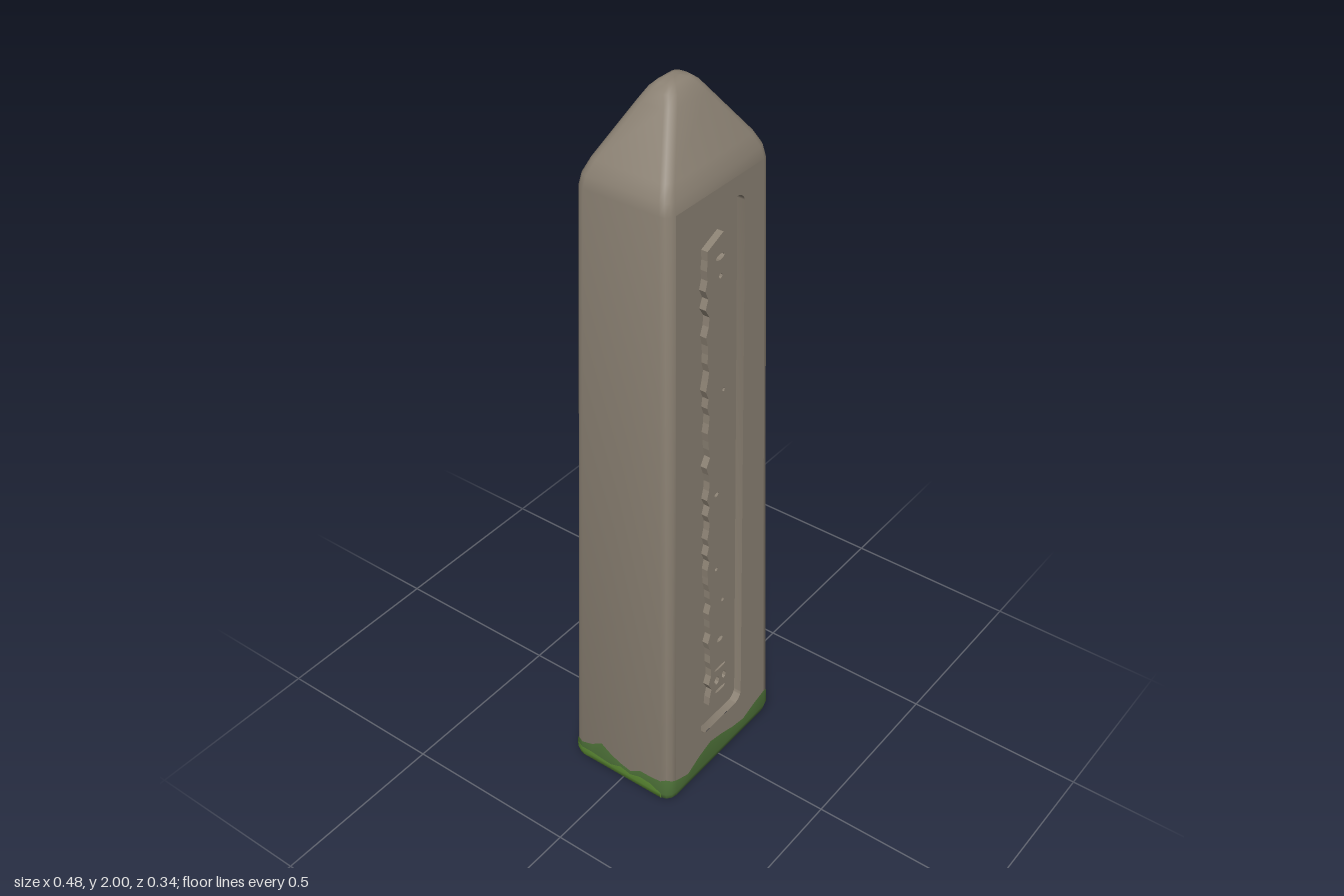
import * as THREE from 'three';
import { toCreasedNormals } from 'three/addons/utils/BufferGeometryUtils.js';

const ARC = 3; // segments per rounded corner
const LOW = 0.03, HIGH = 1.77; // limits of the straight shaft

// height, half width, half depth, corner radius
const PROFILE = [
  [0, 0.221, 0.149, 0.022], [0.01, 0.233, 0.161, 0.028], [LOW, 0.238, 0.166, 0.03],
  [HIGH, 0.192, 0.132, 0.026], [1.8, 0.186, 0.126, 0.025], [1.835, 0.166, 0.112, 0.023],
  [1.955, 0.076, 0.052, 0.022], [1.98, 0.058, 0.038, 0.022], [1.994, 0.04, 0.024, 0.016],
  [2, 0.018, 0.01, 0.008], [2, 0, 0, 0],
];

function sizeAt(y) {
  let i = 1;
  while (i < PROFILE.length - 1 && PROFILE[i][0] < y) i++;
  const a = PROFILE[i - 1], b = PROFILE[i];
  const t = (y - a[0]) / (b[0] - a[0]);
  return a.map((v, k) => v + (b[k] - v) * t);
}

// rounded rectangle of points, starting at the left side and passing the front first
function ring([y, w, d, r], grow = 0) {
  const pts = [];
  for (let c = 0; c < 4; c++) {
    const sx = c === 0 || c === 3 ? 1 : -1, sz = c < 2 ? 1 : -1;
    for (let k = 0; k <= ARC; k++) {
      const a = (c + k / ARC) * Math.PI / 2;
      pts.push(new THREE.Vector3(
        sx * (w - r) + (r + grow) * Math.cos(a), y, sz * (d - r) + (r + grow) * Math.sin(a)));
    }
  }
  return pts;
}

// skin between closed rows of points; skip(row, column) leaves a face open
function loft(rows, crease, skip = () => false) {
  const pos = [];
  const n = rows[0].length;
  for (let j = 0; j < rows.length - 1; j++) {
    for (let i = 0; i < n; i++) {
      if (skip(j, i)) continue;
      const k = (i + 1) % n;
      const a = rows[j][i], b = rows[j][k], c = rows[j + 1][i], d = rows[j + 1][k];
      for (const p of [a, c, b, b, c, d]) pos.push(p.x, p.y, p.z);
    }
  }
  const g = new THREE.BufferGeometry();
  g.setAttribute('position', new THREE.Float32BufferAttribute(pos, 3));
  return toCreasedNormals(g, crease);
}

// depth of the sloping front face
const frontZ = (y) => 0.166 + (0.132 - 0.166) * (y - LOW) / (HIGH - LOW);

// lean a flat geometry onto the front face, sunk by a depth
function lean(g, sink) {
  const p = g.attributes.position;
  for (let i = 0; i < p.count; i++) p.setZ(i, p.getZ(i) + frontZ(p.getY(i)) - sink);
  g.computeVertexNormals();
  return g;
}

function seeded(seed) {
  return () => (seed = (seed * 16807) % 2147483647) / 2147483647;
}

function roundedPanel(w, y0, y1, r) {
  const s = new THREE.Shape();
  s.absarc(w - r, y0 + r, r, -Math.PI / 2, 0);
  s.absarc(w - r, y1 - r, r, 0, Math.PI / 2);
  s.absarc(-w + r, y1 - r, r, Math.PI / 2, Math.PI);
  s.absarc(-w + r, y0 + r, r, Math.PI, Math.PI * 1.5);
  return new THREE.Shape(s.getPoints(6).slice(0, -1));
}

// ragged worn strip with small pits and slots
function reliefShape() {
  const rand = seeded(77);
  const right = [], left = [];
  for (let i = 0; i <= 56; i++) {
    const y = 0.225 + i * 0.025;
    const w = i < 3 ? 0.042 : 0.046;
    right.push(new THREE.Vector2(w + (rand() - 0.5) * 0.016, y));
    left.push(new THREE.Vector2(-w - 0.002 + (rand() - 0.5) * 0.016, y));
  }
  const s = new THREE.Shape([...right, new THREE.Vector2(0.015, 1.65), ...left.reverse()]);
  const pits = [[0, 0.25, 0.024, 0.006], [-0.014, 0.29, 0.011, 0.014], [0.018, 0.29, 0.009, 0.014],
    [0, 0.33, 0.026, 0.005], [0, 0.43, 0.013, 0.008], [0.012, 0.56, 0.006, 0.006],
    [-0.016, 0.68, 0.006, 0.006], [-0.014, 0.92, 0.009, 0.006], [0.016, 1.22, 0.005, 0.006],
    [0.004, 1.54, 0.007, 0.007], [0.002, 1.59, 0.017, 0.008]];
  for (const [x, y, w, h] of pits) {
    const hole = new THREE.Path();
    hole.absellipse(x, y, w, h, 0, Math.PI * 2, true);
    s.holes.push(new THREE.Path(hole.getPoints(4).slice(0, -1)));
  }
  return s;
}

// thin moss skin hugging the foot, with an uneven upper edge
function mossGeometry(height, grow) {
  const heights = [0, 0.01, LOW, 1];
  const split = (pts) => pts.flatMap((p, i) => {
    const q = pts[(i + 1) % pts.length];
    const n = i % (ARC + 1) === ARC ? 8 : 1;
    return Array.from({ length: n }, (_, k) => p.clone().lerp(q, k / n));
  });
  const base = split(ring(sizeAt(LOW), grow));
  const tops = base.map((p, i) => height(p, i));
  const rows = heights.map((h) => base.map((_, i) => {
    const y = Math.min(h, tops[i]);
    const p = split(ring(sizeAt(y), grow))[i];
    if (h === 0) p.y = 0;
    return p;
  }));
  const centre = base.map(() => new THREE.Vector3(0, 0, 0));
  return loft([centre, ...rows], 0.7);
}

export function createModel() {
  const group = new THREE.Group();
  const material = (name, color, side = THREE.FrontSide) => {
    const m = new THREE.MeshStandardMaterial({ color, side });
    m.name = name;
    return m;
  };
  const stone = material('stone', 0x8b8173);
  const moss = material('moss', 0x50753a);
  const brightMoss = material('brightMoss', 0x5d8c34);
  const add = (name, geometry, mat) => {
    const mesh = new THREE.Mesh(geometry, mat);
    mesh.name = name;
    group.add(mesh);
    return mesh;
  };

  // tapering shaft and pointed cap, open where the front face goes
  add('shaft', loft(PROFILE.map((p) => ring(p)), 0.6, (j, i) => j === 2 && i === ARC), stone);

  // front face with a panel opening
  const panel = roundedPanel(0.093, 0.145, 1.72, 0.03);
  const xl = 0.238 - 0.03, xh = 0.192 - 0.026;
  const face = new THREE.Shape([[-xl, LOW], [xl, LOW], [xh, HIGH], [-xh, HIGH]]
    .map(([x, y]) => new THREE.Vector2(x, y)));
  face.holes.push(new THREE.Path(panel.getPoints()));
  add('frontFace', lean(new THREE.ShapeGeometry(face), 0), stone);

  // sunken panel: walls and floor
  const sink = 0.022;
  const outline = (s) => panel.getPoints().slice(0, -1)
    .map((p) => new THREE.Vector3(p.x, p.y, frontZ(p.y) - s));
  add('panelWalls', loft([outline(sink), outline(0)], 0.6), stone);
  add('panelFloor', lean(new THREE.ShapeGeometry(panel), sink), stone);

  // raised weathered strip inside the panel
  const relief = new THREE.ExtrudeGeometry(reliefShape(), { depth: 0.018, bevelEnabled: false });
  add('wornRelief', lean(relief, sink), stone);

  // moss around the foot
  const rand = seeded(19);
  add('mossBand', mossGeometry((p) =>
    0.072 + 0.014 * Math.sin(p.x * 27 + p.z * 31 + 4) + (rand() - 0.5) * 0.02, 0.0015), moss);

  // brighter growth low on the back and sides
  const rand2 = seeded(5);
  add('brightMossBand', mossGeometry((p) => {
    if (p.z > 0.15) return 0.002;
    if (p.x > 0.22) return Math.abs(p.z) < 0.08 ? 0.058 - Math.abs(p.z) * 0.15 : 0.004;
    return 0.045 + (rand2() - 0.5) * 0.022;
  }, 0.003), brightMoss);

  // darker patch under the foot
  const patch = new THREE.CircleGeometry(0.06, 9);
  patch.rotateX(Math.PI / 2);
  add('undersidePatch', patch, moss).position.y = -0.001;

  return group;
}
